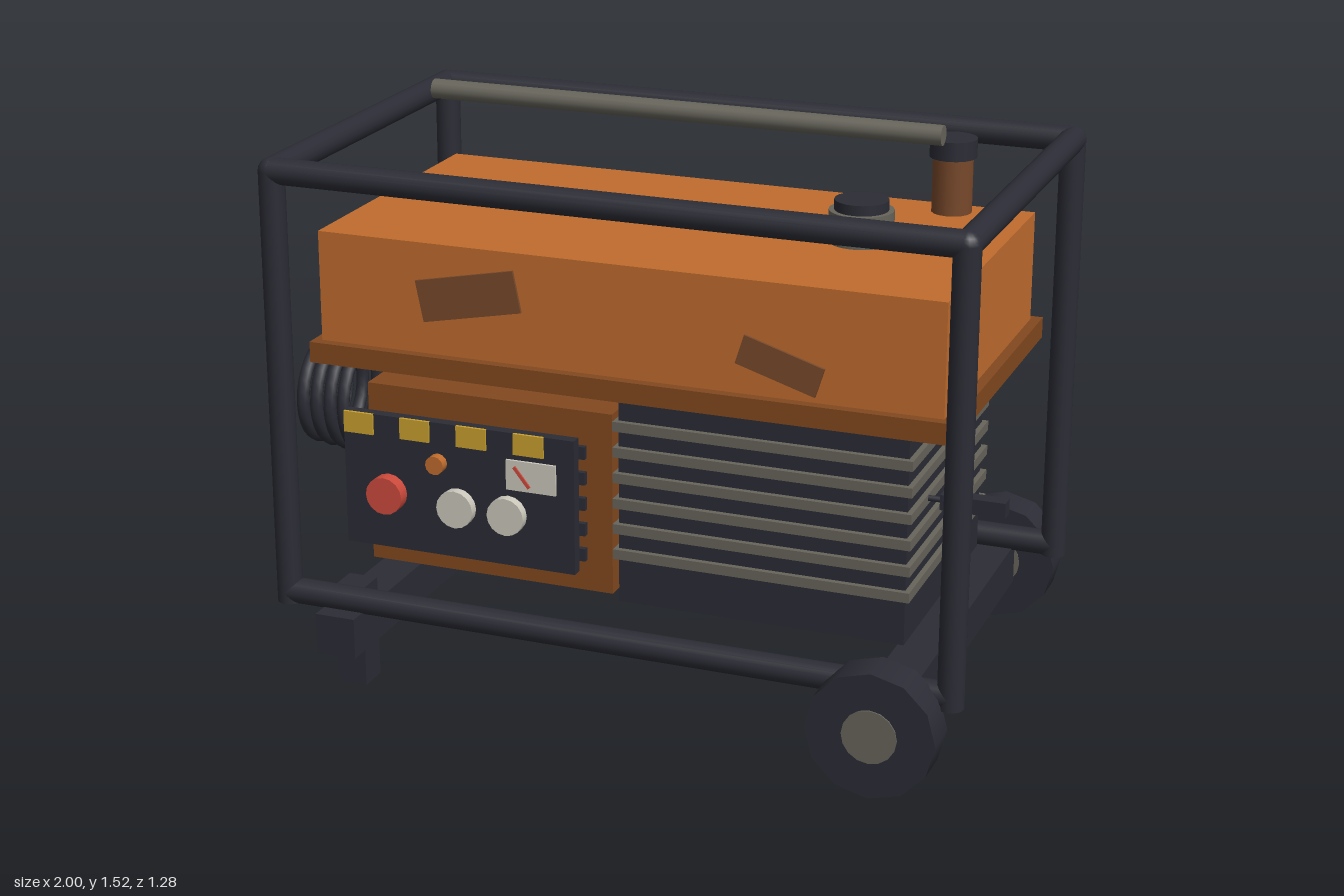
import * as THREE from 'three';

const mat = (name, color) => {
  const m = new THREE.MeshStandardMaterial({ color });
  m.name = name;
  return m;
};

export function createModel() {
  const orange = mat('orangePaint', 0xc06c2d);
  const brown = mat('darkOrangePaint', 0x82491f);
  const rust = mat('rust', 0x77482a);
  const dark = mat('darkSteel', 0x2b2c35);
  const grey = mat('greyMetal', 0x66645a);
  const red = mat('red', 0xcc4a3c);
  const white = mat('offWhite', 0xccc8bc);
  const yellow = mat('yellow', 0xcaa12f);

  const model = new THREE.Group();
  model.name = 'portableGenerator';

  const add = (name, geo, material, x, y, z) => {
    const mesh = new THREE.Mesh(geo, material);
    mesh.name = name;
    mesh.position.set(x, y, z);
    model.add(mesh);
    return mesh;
  };
  // box given by its extents
  const box = (name, m, [x0, x1], [y0, y1], [z0, z1]) =>
    add(name, new THREE.BoxGeometry(x1 - x0, y1 - y0, z1 - z0), m,
      (x0 + x1) / 2, (y0 + y1) / 2, (z0 + z1) / 2);
  // cylinder along an axis, centred at x, y, z
  const rod = (name, m, axis, r, len, x, y, z, sides = 16) => {
    const geo = new THREE.CylinderGeometry(r, r, len, sides);
    if (axis === 'x') geo.rotateZ(Math.PI / 2);
    if (axis === 'z') geo.rotateX(Math.PI / 2);
    return add(name, geo, m, x, y, z);
  };

  // tubular roll cage
  const L = -0.834, R = 0.956, Z = 0.515, T = 1.38, B = 0.247, r = 0.034;
  for (const z of [-Z, Z]) {
    rod('topRail', dark, 'x', r, R - L, (L + R) / 2, T, z);
    rod('bottomRail', dark, 'x', r, R - L, (L + R) / 2, B, z);
    for (const x of [L, R]) {
      rod('post', dark, 'y', r, T - 0.217, x, (T + 0.217) / 2, z);
      add('cornerJoint', new THREE.SphereGeometry(r, 16, 10), dark, x, T, z);
    }
  }
  for (const x of [L, R]) rod('endRail', dark, 'z', r, 2 * Z, x, T, 0);

  // cross beams, feet and wheels
  box('footBeam', dark, [-0.725, -0.615], [0.112, 0.222], [-0.585, 0.585]);
  box('axleBeam', dark, [0.735, 0.845], [0.112, 0.222], [-0.54, 0.54]);
  for (const s of [-1, 1]) {
    add('foot', new THREE.BoxGeometry(0.08, 0.275, 0.082), dark, -0.667, 0.1375, s * 0.463);
    rod('wheel', dark, 'z', 0.165, 0.106, 0.79, 0.165, s * 0.585, 12);
    rod('hub', grey, 'z', 0.07, 0.112, 0.79, 0.165, s * 0.586, 16);
  }

  // hood with rim and two worn patches
  box('hood', orange, [-0.765, 0.888], [0.912, 1.203], [-0.413, 0.413]);
  box('hoodRim', brown, [-0.788, 0.915], [0.857, 0.912], [-0.44, 0.44]);
  const patches = [[0.273, 0.109, -0.348, 1.077, 0.2], [0.215, 0.078, 0.476, 0.996, -0.3]];
  for (const [w, h, x, y, a] of patches)
    add('hoodPatch', new THREE.BoxGeometry(w, h, 0.009), rust, x, y, 0.416).rotation.z = a;

  // fuel filler, exhaust stack and lifting bar
  rod('fillerNeck', grey, 'y', 0.083, 0.085, 0.545, 1.243, 0, 20);
  rod('fillerCap', dark, 'y', 0.069, 0.03, 0.545, 1.297, 0, 20);
  rod('exhaustStack', rust, 'y', 0.053, 0.16, 0.683, 1.28, -0.345);
  rod('exhaustCap', dark, 'y', 0.062, 0.05, 0.683, 1.375, -0.345);
  rod('liftingBar', grey, 'x', 0.026, 1.375, 0.062, 1.493, 0);

  // engine block with cooling fins, muffler and pull starter
  box('engineBlock', dark, [0.027, 0.786], [0.28, 0.83], [-0.345, 0.345]);
  for (let i = 0; i < 6; i++) {
    const y = 0.414 + i * 0.0692;
    box('coolingFin', grey, [0.016, 0.8], [y - 0.013, y + 0.013], [-0.36, 0.36]);
  }
  rod('muffler', rust, 'x', 0.11, 0.415, 0.503, 0.762, -0.475, 12);
  rod('starterCord', dark, 'x', 0.008, 0.06, 0.81, 0.624, 0.208, 8);
  box('starterHandle', dark, [0.834, 1.0], [0.604, 0.644], [0.188, 0.228]);

  // alternator housing with louvres
  box('alternatorHousing', brown, [-0.692, -0.005], [0.28, 0.772], [-0.31, 0.31]);
  for (let i = 0; i < 5; i++) {
    const y = 0.382 + i * 0.07;
    box('louvre', dark, [-0.626, -0.075], [y - 0.017, y + 0.017], [0.3, 0.325]);
  }

  // control panel with hazard stripes, knobs and gauge
  const F = 0.495;
  box('controlPanel', dark, [-0.668, -0.032], [0.402, 0.76], [0.465, F]);
  for (let i = 0; i < 4; i++) {
    const x = -0.666 + i * 0.157;
    box('hazardStripe', yellow, [x, x + 0.082], [0.705, 0.761], [F - 0.002, F + 0.006]);
  }
  rod('stopButton', red, 'z', 0.05, 0.04, -0.545, 0.554, F + 0.015);
  for (const x of [-0.352, -0.212]) rod('socket', white, 'z', 0.05, 0.03, x, 0.541, F + 0.01);
  rod('indicatorLamp', orange, 'z', 0.025, 0.03, -0.405, 0.653, F + 0.01, 12);
  box('gauge', white, [-0.215, -0.08], [0.61, 0.69], [F - 0.002, F + 0.007]);
  add('gaugeNeedle', new THREE.BoxGeometry(0.066, 0.009, 0.006), red, -0.171, 0.648, F + 0.008)
    .rotation.z = -0.9;

  // ribbed cooling duct
  for (let i = 0; i < 4; i++) {
    const ring = new THREE.TorusGeometry(0.133 + i * 0.005, 0.018, 8, 28).rotateY(Math.PI / 2);
    add('ductRing', ring, dark, -0.982 + i * 0.043, 0.62, 0);
  }

  return model;
}
